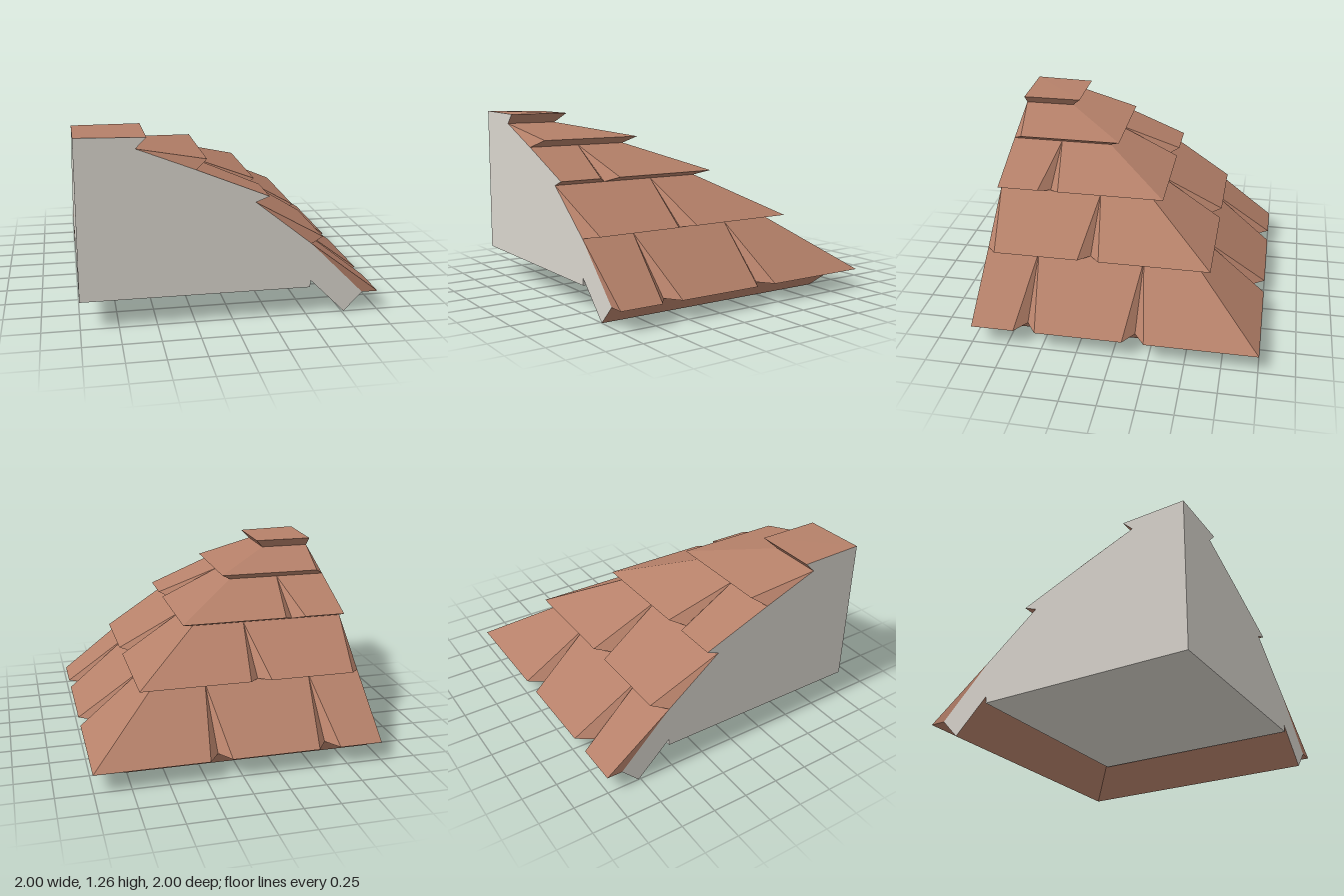
import * as THREE from 'three';

// Roof corner: one slope faces +x, its twin faces -z, meeting on a diagonal hip.
export function createModel() {
  const group = new THREE.Group();
  const clay = new THREE.MeshStandardMaterial({ color: 0xb58069 });
  clay.name = 'clay brown';
  const plaster = new THREE.MeshStandardMaterial({ color: 0xd8d4cc });
  plaster.name = 'plaster grey';

  // Collects triangles for the +x slope and adds their reflection across the hip
  function part(name, material, build) {
    const pos = [];
    const tri = (a, b, c) => {
      pos.push(...a, ...b, ...c);
      for (const [x, y, z] of [a, c, b]) pos.push(-z, y, -x);
    };
    const quad = (a, b, c, d) => { tri(a, b, c); tri(a, c, d); };
    build(tri, quad);
    const geo = new THREE.BufferGeometry();
    geo.setAttribute('position', new THREE.Float32BufferAttribute(pos, 3));
    geo.computeVertexNormals();
    const mesh = new THREE.Mesh(geo, material);
    mesh.name = name;
    group.add(mesh);
  }

  const at = ([x, y], z) => [x, y, z];
  // Strip between two profile points, mitred at the hip
  const strip = (quad, p, q) => quad(at(p, -p[0]), at(p, 1), at(q, 1), at(q, -q[0]));

  // Shingle courses: top edge, lip, underside edge, notches as [centre, half width]
  const w = 0.076;
  const courses = [
    { a: [-1, 1.26], c: [-0.55, 1.25], b: [-0.62, 1.18], notches: [] },
    { a: [-0.62, 1.18], c: [-0.16, 1.08], b: [-0.24, 1.03], notches: [[1, w]] },
    { a: [-0.24, 1.03], c: [0.235, 0.835], b: [0.145, 0.8], notches: [[0.62, w]] },
    { a: [0.145, 0.8], c: [0.625, 0.515], b: [0.525, 0.497], notches: [[0.24, w], [1, w]] },
    { a: [0.525, 0.497], c: [1, 0.13], b: [0.89, 0.13], notches: [[-0.145, w], [0.62, w], [1, 0]] },
  ];
  courses.forEach(({ a, b, c, notches }, i) => part('shingleCourse' + (i + 1), clay, (tri, quad) => {
    let za = -a[0], zb = -b[0], zc = -c[0];
    const tile = (zMid, zLip) => {
      quad(at(a, za), at(a, zMid), at(c, zLip), at(c, zc));
      quad(at(c, zc), at(c, zLip), at(b, zMid), at(b, zb));
    };
    for (const [n, half] of notches) {
      tile(n, n - half);
      tri(at(a, n), at(b, n), at(c, n - half));
      if (n < 1) tri(at(a, n), at(c, n + half), at(b, n));
      za = zb = n;
      zc = n + half;
    }
    if (za < 1 || zc < 1) tile(1, 1);
  }));

  // Eaves below the lowest course
  const lip = [0.89, 0.13], drip = [0.765, 0], inner = [0.525, 0.24], foot = [0.525, 0.19];
  part('eaveFascia', clay, (tri, quad) => strip(quad, lip, drip));
  part('eaveSoffit', clay, (tri, quad) => strip(quad, drip, inner));

  // Wall strip and flat base
  part('wallStrip', plaster, (tri, quad) => strip(quad, inner, foot));
  part('base', plaster, (tri) => tri([-1, 0.19, 1], [foot[0], 0.19, -foot[0]], [foot[0], 0.19, 1]));

  // Flat cut ends following the profile
  part('cutEnd', plaster, (tri) => {
    const outline = [[-1, 0.19], foot, inner, drip, lip,
      courses[4].a, courses[3].a, courses[2].c, courses[2].a,
      courses[1].a, courses[0].c, courses[0].a];
    const pts = outline.map(([x, y]) => new THREE.Vector2(x, y));
    for (const f of THREE.ShapeUtils.triangulateShape(pts, [])) {
      tri(...f.map((k) => at(outline[k], 1)));
    }
  });

  return group;
}
